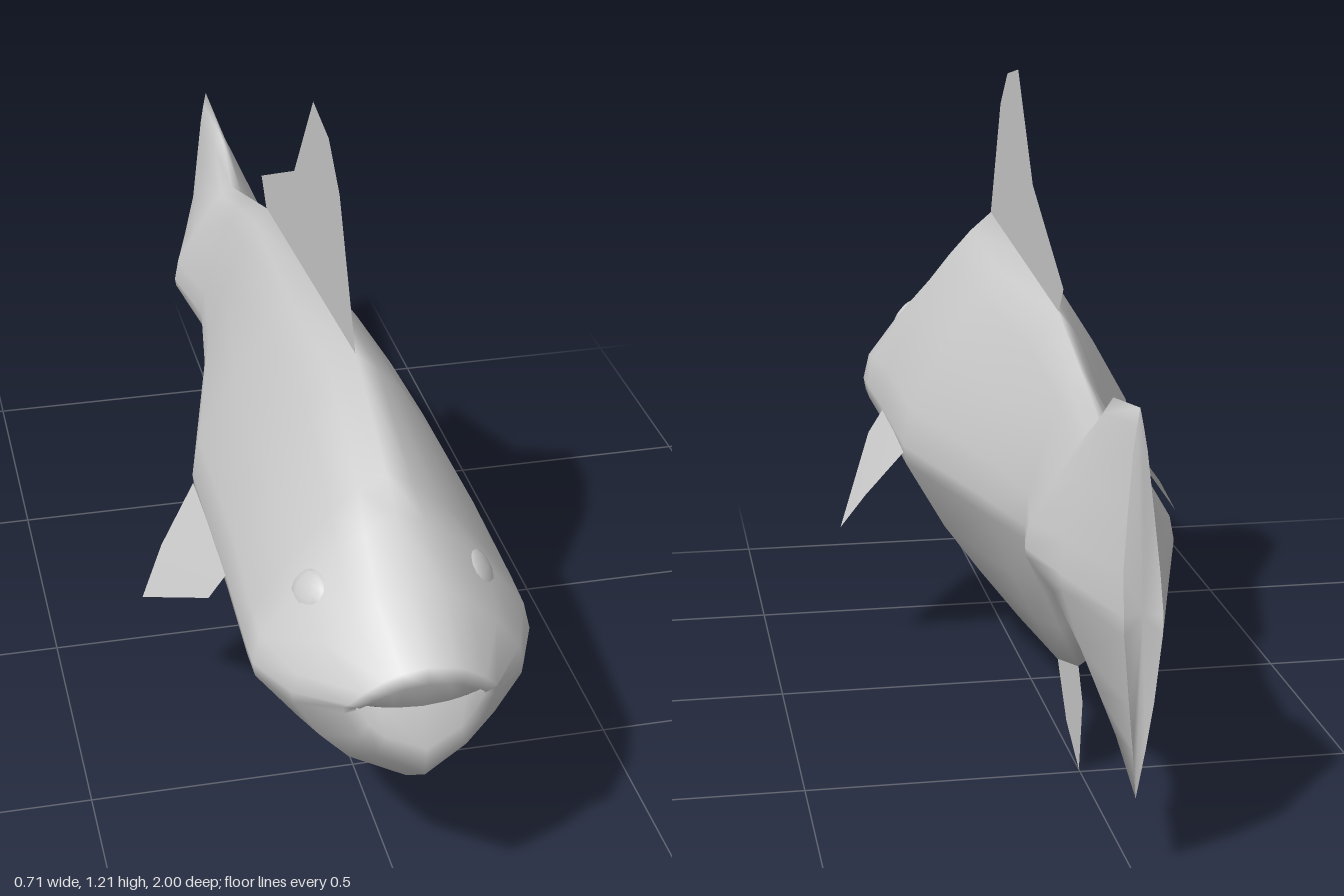
import * as THREE from 'three';

// Half cross-section, top to bottom: [share of half width, share of height]
const SECTION = [[0, 1], [0.17, 0.91], [0.36, 0.79], [0.64, 0.52], [0.94, 0.2], [1, 0],
  [0.98, -0.1], [0.64, -0.46], [0.33, -0.72], [0, -1]];
const LOOP = [...SECTION, ...SECTION.slice(1, -1).reverse().map(([x, v]) => [-x, v])];

// Rings, nose to tail: zTop, zMid, zBottom, yTop, yMid, yBottom, half width, roundness
const RINGS = [
  [1.0, 0.955, 1.0, 0.54, 0.48, 0.41, 0.11, 0.7],
  [0.995, 0.95, 0.995, 0.57, 0.48, 0.355, 0.13, 0.7],
  [0.88, 0.88, 0.88, 0.65, 0.47, 0.265, 0.2, 0.5],
  [0.77, 0.77, 0.77, 0.725, 0.46, 0.2, 0.245, 0.2],
  [0.7, 0.7, 0.7, 0.765, 0.46, 0.155, 0.245, 0.1],
  [0.48, 0.48, 0.48, 0.875, 0.46, 0.11, 0.238, 0.05],
  [0.14, 0.14, 0.14, 0.846, 0.46, 0.085, 0.235, 0.05],
  [-0.28, -0.3, -0.28, 0.81, 0.46, 0.14, 0.13, 0.1],
  [-0.48, -0.5, -0.48, 0.747, 0.47, 0.195, 0.1, 0.1],
  [-0.66, -0.66, -0.71, 0.69, 0.48, 0.31, 0.13, 0],
  [-0.76, -0.79, -0.8, 0.76, 0.47, 0.185, 0.092, 0],
  [-0.96, -1.0, -0.955, 0.79, 0.46, 0.135, 0.032, 0],
];

function ringPoints([zT, zM, zB, yT, yM, yB, w, round]) {
  return LOOP.map(([x, v]) => {
    const full = Math.sign(x) * Math.sqrt(1 - v * v);
    const edge = THREE.MathUtils.lerp(x, full, round);
    return [w * edge, yM + v * (v > 0 ? yT - yM : yM - yB),
      THREE.MathUtils.lerp(zM, v > 0 ? zT : zB, v > 0 ? Math.sqrt(v) : v * v)];
  });
}

function meshFrom(name, positions, index, material) {
  const geometry = new THREE.BufferGeometry();
  geometry.setAttribute('position', new THREE.Float32BufferAttribute(positions.flat(), 3));
  geometry.setIndex(index);
  geometry.computeVertexNormals();
  const mesh = new THREE.Mesh(geometry, material);
  mesh.name = name;
  return mesh;
}

export function createModel() {
  const group = new THREE.Group();
  group.name = 'fish';
  const skin = new THREE.MeshStandardMaterial({ color: 0xcccccc });
  const thin = new THREE.MeshStandardMaterial({ color: 0xcccccc, side: THREE.DoubleSide });

  // Body with tail: lofted rings that begin at the closed line of the mouth
  const mouth = LOOP.map(([x, v]) => {
    const s = Math.sign(x) * Math.sqrt(1 - v * v);
    return [0.11 * s, 0.475 + 0.01 * s * s, 0.968 - 0.015 * s * s];
  });
  const rows = [mouth, ...RINGS.map(ringPoints)];
  const n = LOOP.length;
  const index = [];
  for (let i = 0; i < rows.length - 1; i++) {
    for (let j = 0; j < n; j++) {
      const k = (j + 1) % n;
      const a = i * n + j, b = i * n + k, c = a + n, d = b + n;
      index.push(a, b, c, b, d, c);
    }
  }
  group.add(meshFrom('body', rows.flat(), index, skin));

  // Rear edge of the tail
  const end = rows[rows.length - 1];
  const capIndex = [];
  for (let j = 0; j < n; j++) capIndex.push(n, j, (j + 1) % n);
  group.add(meshFrom('tailEdge', [...end, [0, 0.46, -0.99]], capIndex, skin));

  // Flat fins on the centre line, outlined as [z, y]
  const flatFin = (name, outline) => {
    const shape = new THREE.Shape(outline.map(([z, y]) => new THREE.Vector2(-z, y)));
    const fin = new THREE.Mesh(new THREE.ShapeGeometry(shape), thin);
    fin.rotation.y = Math.PI / 2;
    fin.name = name;
    group.add(fin);
  };
  flatFin('dorsalFin', [[0.48, 0.872], [0.35, 1.12], [0.265, 1.19], [0.14, 1.21],
    [-0.02, 1.005], [-0.33, 0.86], [-0.28, 0.805]]);
  flatFin('analFin', [[-0.28, 0.145], [-0.37, 0.05], [-0.49, 0], [-0.52, 0.14], [-0.48, 0.2]]);

  for (const s of [1, -1]) {
    const side = s > 0 ? 'left' : 'right';
    // Side fin, sloping out and down
    const fin = [[0.235, 0.455, 0.485], [0.268, 0.405, 0.48], [0.355, 0.265, 0.245],
      [0.308, 0.345, 0.195], [0.235, 0.445, 0.145]].map(([x, y, z]) => [s * x, y, z]);
    group.add(meshFrom(side + 'SideFin', fin, [0, 1, 2, 0, 2, 3, 0, 3, 4], thin));

    // Eye: a low bump on the side of the head
    const eye = new THREE.Mesh(new THREE.SphereGeometry(0.042, 12, 8), skin);
    eye.scale.set(0.35, 0.9, 1);
    eye.position.set(s * 0.148, 0.6, 0.78);
    eye.rotation.set(0, -s * 0.4, s * 0.6);
    eye.name = side + 'Eye';
    group.add(eye);
  }
  return group;
}
